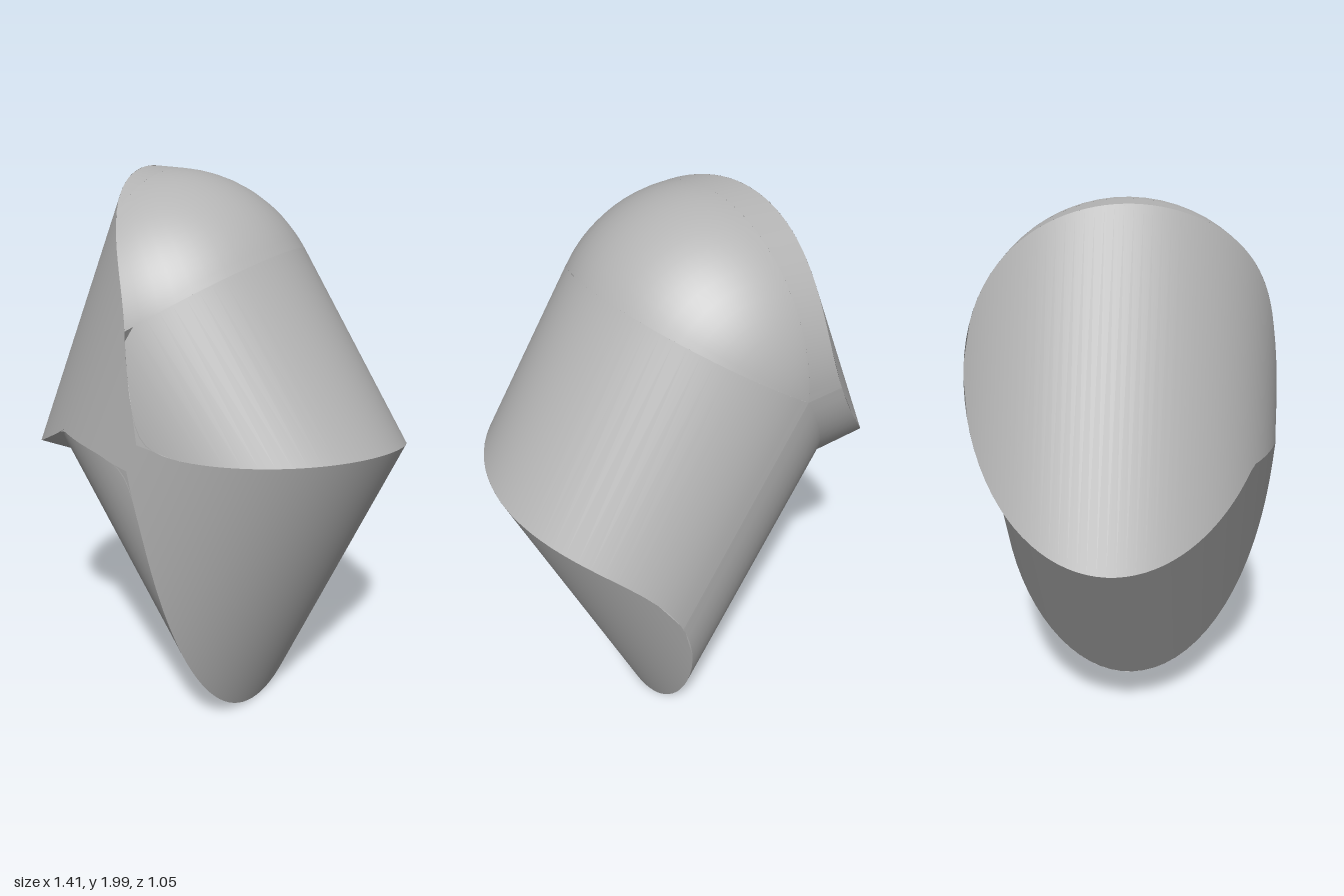
import * as THREE from 'three';

const V = (x, y, z = 0) => new THREE.Vector3(x, y, z);

// Bent pipe: joint, radius, directions of the two arms and their outer normals
const JOINT = V(-0.143, 1.475), R = 0.525;
const LOWER = { axis: V(0.56, -0.83).normalize(), outer: V(0.83, 0.56).normalize(), side: 1 };
const UPPER = { axis: V(-1, 0), outer: V(0, 1), side: -1 };

// Large slanted cylinder that trims the pipe: its axis, the direction across it, centre and radius
const ALONG = V(0.396, 0.918).normalize(), ACROSS = V(0.918, -0.396).normalize();
const CUT_P = -0.418, CUT_Z = -0.09, CUT_R = 0.61;

const at = (o, ...terms) => terms.reduce((v, [dir, k]) => v.addScaledVector(dir, k), o.clone());
const Z = V(0, 0, 1);
const insideCut = v => Math.hypot(v.dot(ACROSS) - CUT_P, v.z - CUT_Z) < CUT_R;

// Distance to the pipe's centre line, minus its radius
function pipeDistance(v) {
  const q = v.clone().sub(JOINT);
  return Math.min(...[LOWER, UPPER].map(({ axis }) =>
    at(q, [axis, -Math.max(0, q.dot(axis))]).length())) - R;
}

// Parameter between an inside and an outside value where the test changes
function border(isIn, a, b) {
  for (let i = 0; i < 30; i++) {
    const m = (a + b) / 2;
    if (isIn(m)) a = m; else b = m;
  }
  return a;
}

// Smooth sheet from rows of points; every face is turned away from the joint
function sheet(rows) {
  const n = rows[0].length, pts = rows.flat(), index = [];
  const face = (a, b, c) => {
    const A = pts[a], B = pts[b], C = pts[c];
    const normal = B.clone().sub(A).cross(C.clone().sub(A));
    if (normal.length() < 1e-10) return;
    const out = A.clone().add(B).add(C).divideScalar(3).sub(JOINT);
    index.push(...(normal.dot(out) > 0 ? [a, b, c] : [a, c, b]));
  };
  for (let i = 0; i < rows.length - 1; i++)
    for (let j = 0; j < n - 1; j++) {
      const a = i * n + j;
      face(a, a + n, a + 1);
      face(a + 1, a + n, a + n + 1);
    }
  const g = new THREE.BufferGeometry().setFromPoints(pts);
  g.setIndex(index);
  g.computeVertexNormals();
  return g;
}

// Straight arm, from the joint or mitre to the trimming cylinder
function armGeometry(arm, other) {
  const rows = [], SEG = 72;
  const diff = arm.axis.clone().sub(other.axis);
  const mitre = arm.outer.dot(diff) / arm.axis.dot(diff);
  for (let i = 0; i <= SEG; i++) {
    const a = -Math.PI / 2 + i / SEG * Math.PI * 2;
    const base = at(JOINT, [arm.outer, R * Math.cos(a)], [Z, R * Math.sin(a)]);
    const half = Math.sqrt(Math.max(0, CUT_R ** 2 - (base.z - CUT_Z) ** 2));
    const reach = p => (p - base.dot(ACROSS)) / arm.axis.dot(ACROSS);
    let lo = Math.max(0, -R * Math.cos(a) * mitre, reach(CUT_P - arm.side * half));
    let hi = reach(CUT_P + arm.side * half);
    if (lo > hi) lo = hi = (lo + hi) / 2;
    rows.push([at(base, [arm.axis, lo]), at(base, [arm.axis, hi])]);
  }
  return sheet(rows);
}

// Rounded outer side of the bend
function bendGeometry() {
  const rows = [], bend = UPPER.outer.angleTo(LOWER.outer);
  for (let i = 0; i <= 14; i++) {
    const dir = UPPER.outer.clone().applyAxisAngle(Z, -bend * i / 14);
    const point = a => at(JOINT, [dir, R * Math.cos(a)], [Z, R * Math.sin(a)]);
    const end = border(a => insideCut(point(a)), 0, Math.PI / 2);
    rows.push(Array.from({ length: 25 }, (_, j) =>
      point(-Math.PI / 2 + (end + Math.PI / 2) * j / 24)));
  }
  return sheet(rows);
}

// Curved trimmed face that wraps from one arm's end across the front to the other
function trimGeometry() {
  const rows = [], SEG = 96;
  const start = Math.asin((-R - CUT_Z) / CUT_R) + 0.001;
  for (let i = 0; i <= SEG; i++) {
    const a = start + (Math.PI - 2 * start) * i / SEG;
    const base = at(V(0, 0), [ACROSS, CUT_P + CUT_R * Math.cos(a)], [Z, CUT_Z + CUT_R * Math.sin(a)]);
    const point = s => at(base, [ALONG, s]);
    let best = 0, least = Infinity;
    for (let s = -1; s < 3; s += 0.01) {
      const dist = pipeDistance(point(s));
      if (dist < least) { least = dist; best = s; }
    }
    const isIn = s => pipeDistance(point(s)) < 0;
    rows.push([point(border(isIn, best, best - 2)), point(border(isIn, best, best + 2))]);
  }
  return sheet(rows);
}

export function createModel() {
  const group = new THREE.Group();
  group.name = 'trimmedPipeElbow';
  const grey = new THREE.MeshStandardMaterial({ color: 0xb4b4b4, side: THREE.DoubleSide });
  grey.name = 'grey';
  const add = (name, geometry) => {
    const mesh = new THREE.Mesh(geometry, grey);
    mesh.name = name;
    group.add(mesh);
  };
  add('lowerArm', armGeometry(LOWER, UPPER));
  add('upperArm', armGeometry(UPPER, LOWER));
  add('bend', bendGeometry());
  add('trimmedFace', trimGeometry());
  return group;
}
